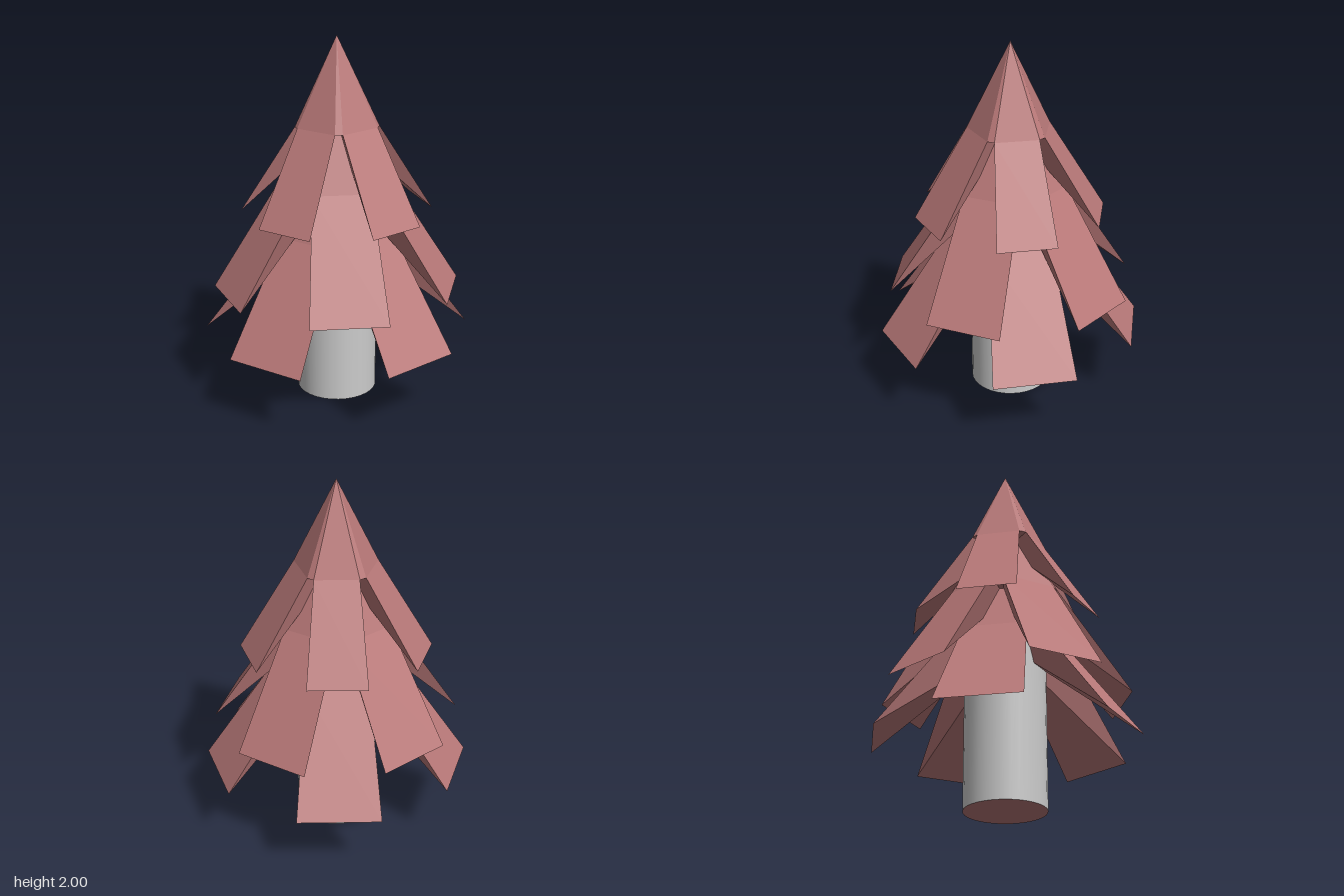
import * as THREE from 'three';

const rad = THREE.MathUtils.degToRad;
const bark = new THREE.MeshStandardMaterial({ color: 0xcccccc });
const leaf = new THREE.MeshStandardMaterial({ color: 0xb87878, flatShading: true });

// Point at radius r, height y and angle a (degrees from the front towards +x)
const at = (r, y, a) => [r * Math.sin(rad(a)), y, r * Math.cos(rad(a))];

// One tier: a small cone that splits into five wedge-shaped flaps
function tier(name, { apex, ringY, ringR, rimY, rimR, turn }) {
  const p = [];
  const tri = (...corners) => corners.forEach((c) => p.push(...c));
  const tip = [0, apex, 0];
  const core = [0, ringY, 0];
  for (let i = 0; i < 5; i++) {
    const a = turn + i * 72;
    const r0 = at(ringR, ringY, a - 31);
    const r1 = at(ringR, ringY, a + 31);
    const next = at(ringR, ringY, a + 41);
    const b0 = at(rimR, rimY, a - 17.9);
    const b1 = at(rimR, rimY, a + 17.9);
    // cone side and flap face
    tri(tip, r0, r1);
    tri(r0, b0, b1);
    tri(r0, b1, r1);
    // flap underside and its two side walls
    tri(core, b1, b0);
    tri(core, b0, r0);
    tri(core, r1, b1);
    // narrow strip between flaps
    tri(tip, r1, next);
    tri(core, next, r1);
  }
  const geo = new THREE.BufferGeometry();
  geo.setAttribute('position', new THREE.Float32BufferAttribute(p, 3));
  geo.computeVertexNormals();
  const mesh = new THREE.Mesh(geo, leaf);
  mesh.name = name;
  return mesh;
}

export function createModel() {
  const tree = new THREE.Group();
  tree.name = 'tree';

  // Trunk
  const trunk = new THREE.Mesh(new THREE.CylinderGeometry(0.22, 0.22, 0.9, 32, 1, true), bark);
  trunk.name = 'trunk';
  trunk.position.y = 0.45;
  const base = new THREE.Mesh(new THREE.CircleGeometry(0.22, 32), leaf);
  base.name = 'trunkBase';
  base.rotation.x = Math.PI / 2;
  tree.add(trunk, base);

  // Foliage
  tree.add(
    tier('topFoliage', { apex: 2, ringY: 1.525, ringR: 0.23, rimY: 1.045, rimR: 0.52, turn: 180 }),
    tier('middleFoliage', { apex: 1.78, ringY: 1.21, ringR: 0.305, rimY: 0.625, rimR: 0.674, turn: 3.2 }),
    tier('bottomFoliage', { apex: 1.48, ringY: 0.93, ringR: 0.33, rimY: 0.365, rimR: 0.728, turn: 180.5 }),
  );
  return tree;
}
